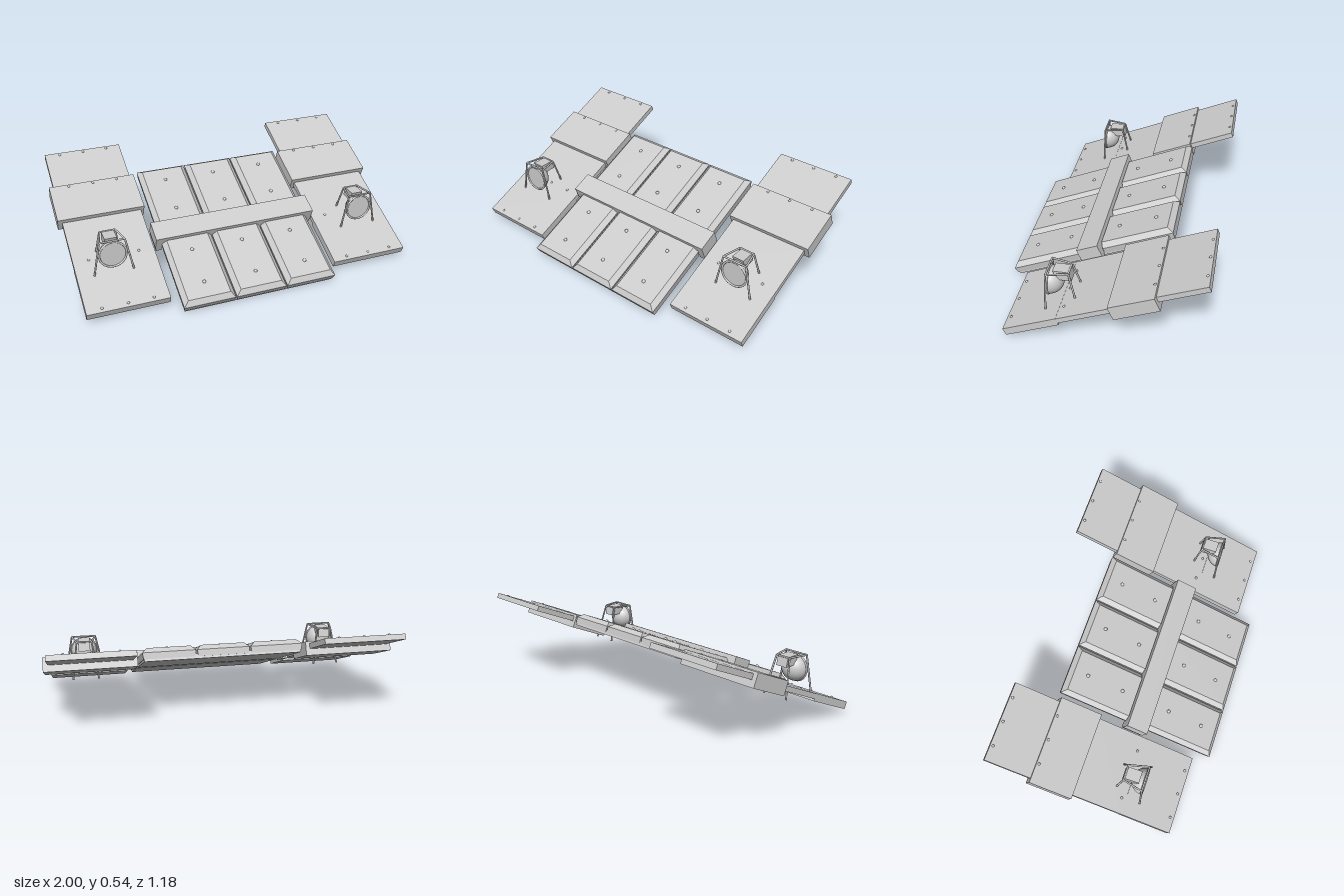
import * as THREE from 'three';

const mat = new THREE.MeshStandardMaterial({ color: 0xcccccc, flatShading: true });
const smooth = new THREE.MeshStandardMaterial({ color: 0xcccccc, side: THREE.DoubleSide });

function add(parent, name, geo, x = 0, y = 0, z = 0, m = mat) {
  const mesh = new THREE.Mesh(geo, m);
  mesh.name = name;
  mesh.position.set(x, y, z);
  parent.add(mesh);
  return mesh;
}

// Slab on the slope: x range, height range n, range u running up the slope (local -z)
function slab(parent, name, x0, x1, n0, n1, u0, u1) {
  return add(parent, name, new THREE.BoxGeometry(x1 - x0, n1 - n0, u1 - u0),
    (x0 + x1) / 2, (n0 + n1) / 2, -(u0 + u1) / 2);
}

// Armour tile with bevelled sides and one bevelled end (end = 1 upper, -1 lower)
function tile(parent, x, u0, u1, end) {
  const w = 0.151, b = 0.027;
  const ring = (y, i) => {
    const a = u0 + (end < 0 ? i : 0), c = u1 - (end > 0 ? i : 0);
    return [[-w + i, y, -a], [w - i, y, -a], [w - i, y, -c], [-w + i, y, -c]];
  };
  const rings = [ring(0.235, 0.006), ring(0.272, 0), ring(0.299, b)];
  const pos = [];
  const quad = (p, q, r, s) => pos.push(...p, ...q, ...r, ...p, ...r, ...s);
  for (let k = 0; k < 2; k++) {
    for (let i = 0; i < 4; i++) {
      const j = (i + 1) % 4;
      quad(rings[k][i], rings[k][j], rings[k + 1][j], rings[k + 1][i]);
    }
  }
  quad(...rings[2]);
  quad(...rings[0].slice().reverse());
  const geo = new THREE.BufferGeometry();
  geo.setAttribute('position', new THREE.Float32BufferAttribute(pos, 3));
  geo.computeVertexNormals();
  add(parent, 'armourTile', geo, x);
}

function bolt(parent, x, n, u, r) {
  add(parent, 'bolt', new THREE.SphereGeometry(r, 10, 5, 0, Math.PI * 2, 0, Math.PI / 2), x, n, -u, smooth);
}

// Thin rod between two points
function rod(parent, name, a, b, r = 0.0055) {
  const p = new THREE.Vector3(...a), q = new THREE.Vector3(...b);
  const d = q.clone().sub(p);
  const m = add(parent, name, new THREE.CylinderGeometry(r, r, d.length(), 8), 0, 0, 0, smooth);
  m.position.copy(p).add(q).multiplyScalar(0.5);
  m.quaternion.setFromUnitVectors(new THREE.Vector3(0, 1, 0), d.normalize());
}

function headlamp() {
  const g = new THREE.Group();
  g.name = 'headlamp';
  // Bowl with a flat lens and rim, facing forward
  const R = 0.078;
  const bowl = new THREE.SphereGeometry(R, 28, 12, 0, Math.PI * 2, 0, Math.PI / 2);
  bowl.rotateX(-Math.PI / 2);
  add(g, 'lampBowl', bowl, 0, 0.274, 0.28, smooth);
  add(g, 'lampLens', new THREE.CircleGeometry(R, 28), 0, 0.274, 0.281, smooth);
  add(g, 'lampRim', new THREE.TorusGeometry(R, 0.006, 8, 28), 0, 0.274, 0.281, smooth);
  // Guard frame
  for (const s of [-1, 1]) {
    rod(g, 'guardFrontLeg', [s * 0.072, 0.361, 0.284], [s * 0.112, 0.16, 0.284]);
    rod(g, 'guardRearLeg', [s * 0.045, 0.361, 0.167], [s * 0.078, 0.14, 0.11]);
    rod(g, 'guardTopRail', [s * 0.072, 0.361, 0.284], [s * 0.045, 0.361, 0.167]);
  }
  rod(g, 'guardFrontRail', [-0.074, 0.361, 0.284], [0.074, 0.361, 0.284]);
  rod(g, 'guardRearRail', [-0.045, 0.361, 0.167], [0.045, 0.361, 0.167]);
  // Box behind the lamp, its back leaning with the rear legs
  const s = new THREE.Shape([[-0.255, 0.362], [-0.167, 0.362], [-0.153, 0.306], [-0.235, 0.306]]
    .map(p => new THREE.Vector2(...p)));
  const box = new THREE.ExtrudeGeometry(s, { depth: 0.07, bevelEnabled: false });
  box.rotateY(Math.PI / 2);
  add(g, 'guardBox', box, -0.035);
  return g;
}

export function createModel() {
  const model = new THREE.Group();
  model.name = 'slopedArmour';
  const slope = new THREE.Group();
  slope.name = 'slopedPanels';
  slope.rotation.x = THREE.MathUtils.degToRad(23);
  model.add(slope);

  // Centre backing plates and tiles
  slab(slope, 'lowerBackingPlate', -0.45, 0.45, 0.222, 0.25, -0.52, -0.085);
  slab(slope, 'upperBackingPlate', -0.45, 0.45, 0.222, 0.25, -0.03, 0.472);
  for (const x of [-0.308, 0, 0.308]) {
    tile(slope, x, -0.53, -0.08, -1);
    tile(slope, x, 0.05, 0.479, 1);
    for (const u of [-0.405, -0.177, 0.138, 0.366]) bolt(slope, x, 0.298, u, 0.011);
  }

  // Crossbar with end brackets
  slab(slope, 'crossbar', -0.495, 0.495, 0.24, 0.322, -0.085, 0.045);
  for (const s of [-1, 1]) {
    const c = s * 0.475;
    slab(slope, 'crossbarBracket', c - 0.017, c + 0.017, 0.217, 0.3, -0.085, 0.045);
  }

  // Stepped side panels: [name, x0, x1, n0, n1, u0, u1, rivet position]
  const panels = [
    ['lowerSidePanel', 0.505, 0.974, 0.212, 0.256, -0.435, -0.112, -0.41],
    ['middleSidePanel', 0.505, 0.974, 0.225, 0.255, -0.112, 0.21, -0.085],
    ['wideSidePanel', 0.485, 1.0, 0.2, 0.282, 0.204, 0.463, 0.448],
    ['topSidePanel', 0.508, 0.974, 0.238, 0.27, 0.46, 0.739, 0.722],
  ];
  for (const s of [-1, 1]) {
    for (const [name, x0, x1, n0, n1, u0, u1, ru] of panels) {
      slab(slope, name, Math.min(s * x0, s * x1), Math.max(s * x0, s * x1), n0, n1, u0, u1);
      for (const x of [0.595, 0.74, 0.885]) bolt(slope, s * x, n1 - 0.001, ru, 0.008);
    }
    const lamp = headlamp();
    lamp.position.x = s * 0.765;
    model.add(lamp);
  }
  return model;
}
